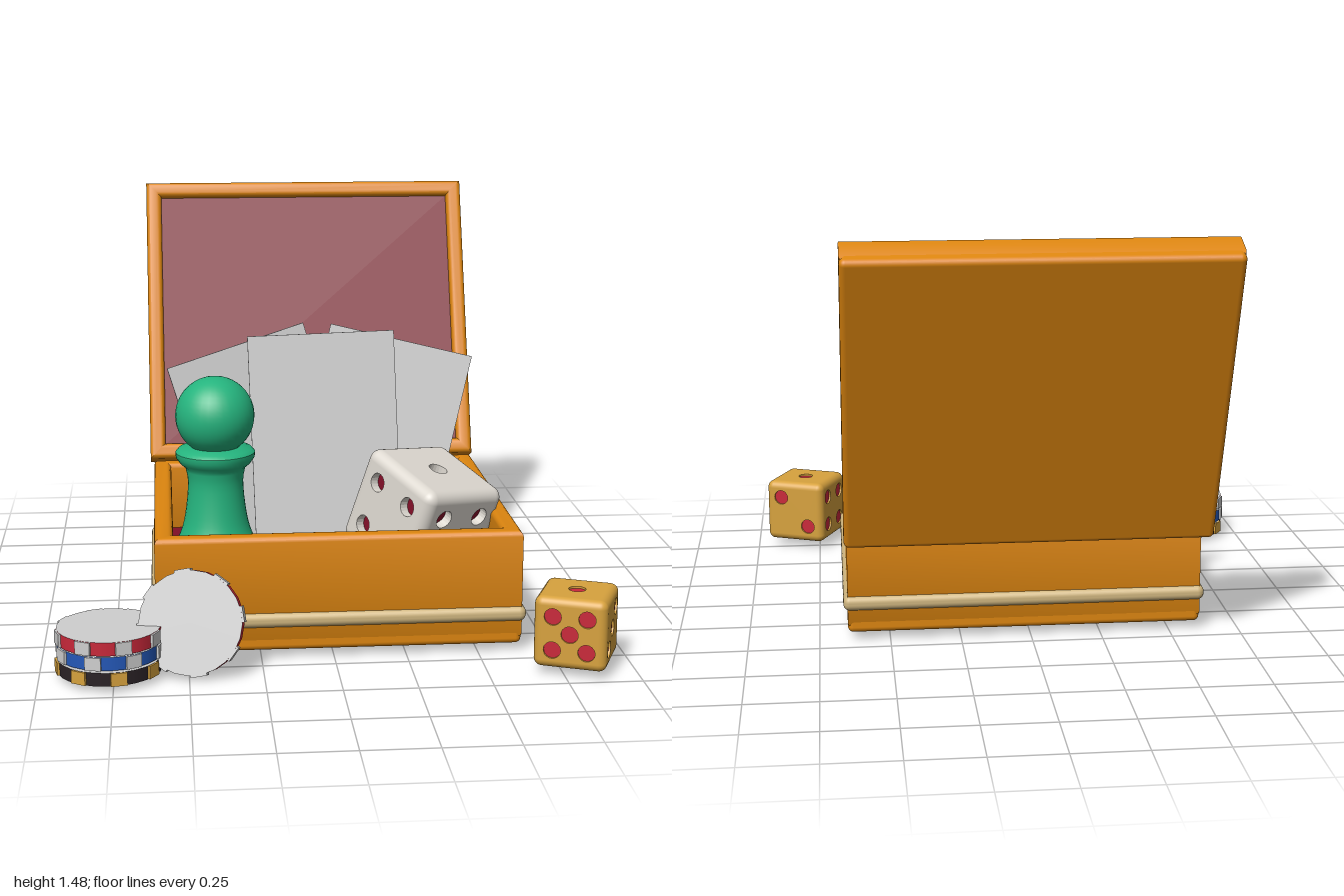
import * as THREE from 'three';
import { toCreasedNormals } from 'three/addons/utils/BufferGeometryUtils.js';
import { RoundedBoxGeometry } from 'three/addons/geometries/RoundedBoxGeometry.js';

const mat = (name, color) => {
  const m = new THREE.MeshStandardMaterial({ color });
  m.name = name;
  return m;
};
const M = {
  wood: mat('orange wood', 0xdc850f),
  lining: mat('crimson lining', 0x800f27),
  trim: mat('tan trim', 0xcfb57f),
  green: mat('green', 0x25b47e),
  paper: mat('pale grey', 0xcfcfcf),
  ivory: mat('ivory', 0xdcd7cf),
  yellow: mat('yellow', 0xd7a23e),
  red: mat('red', 0xc9283a),
  blue: mat('blue', 0x2458b8),
  black: mat('near black', 0x2a2226),
};

function add(parent, name, geometry, material, x = 0, y = 0, z = 0) {
  const mesh = new THREE.Mesh(geometry, material);
  mesh.name = name;
  mesh.position.set(x, y, z);
  parent.add(mesh);
  return mesh;
}

function group(parent, name, x = 0, y = 0, z = 0) {
  const g = new THREE.Group();
  g.name = name;
  g.position.set(x, y, z);
  g.rotation.order = 'YXZ';
  parent.add(g);
  return g;
}

function rectPath(PathClass, w, h) {
  return new PathClass([
    new THREE.Vector2(-w / 2, -h / 2), new THREE.Vector2(w / 2, -h / 2),
    new THREE.Vector2(w / 2, h / 2), new THREE.Vector2(-w / 2, h / 2),
  ]);
}

// Shallow tray lying on z = 0 and opening toward +z, lined up to height liningZ
function tray(g, w, h, depth, wall, liningZ) {
  const b = 0.02, slab = 0.06;
  add(g, 'trayBase', new RoundedBoxGeometry(w, h, slab, 3, b), M.wood, 0, 0, slab / 2);
  const shape = rectPath(THREE.Shape, w, h);
  shape.holes.push(rectPath(THREE.Path, w - 2 * wall, h - 2 * wall));
  const frame = new THREE.ExtrudeGeometry(shape, {
    depth: depth - 0.02 - 2 * b, bevelSize: b, bevelThickness: b, bevelOffset: -b, bevelSegments: 4,
  });
  add(g, 'trayWalls', toCreasedNormals(frame, 0.6), M.wood, 0, 0, 0.02 + b);
  add(g, 'lining', new THREE.BoxGeometry(w - 2 * wall + 0.01, h - 2 * wall + 0.01, liningZ - 0.03),
    M.lining, 0, 0, (liningZ + 0.03) / 2);
}

const PIPS = {
  1: [[0, 0]],
  2: [[-1, 1], [1, -1]],
  3: [[-1, -1], [0, 0], [1, 1]],
  4: [[-1, -1], [1, -1], [-1, 1], [1, 1]],
  5: [[-1, -1], [1, -1], [0, 0], [-1, 1], [1, 1]],
  6: [[-1, -1], [0, -1], [1, -1], [-1, 1], [0, 1], [1, 1]],
};
const FACES = [ // pip count, tilt, turn
  [1, -Math.PI / 2, 0], [6, Math.PI / 2, 0], [5, 0, 0],
  [2, 0, Math.PI], [3, 0, Math.PI / 2], [4, 0, -Math.PI / 2],
];

// Rounded die with drilled pips
function die(g, size, round, pipRadius, pipDepth, bodyMat, pipMat) {
  const h = size / 2, flat = h - round;
  // Rounded edges only: drop the flat middle of each side
  const src = new RoundedBoxGeometry(size, size, size, 4, round);
  const p = src.attributes.position, n = src.attributes.normal, pos = [], nor = [];
  for (let i = 0; i < p.count; i += 3) {
    const isFlat = [0, 1, 2].every((k) =>
      Math.max(Math.abs(n.getX(i + k)), Math.abs(n.getY(i + k)), Math.abs(n.getZ(i + k))) > 0.9999);
    const sameSide = Math.abs(n.getX(i) - n.getX(i + 1)) + Math.abs(n.getY(i) - n.getY(i + 1)) < 0.01;
    if (isFlat && sameSide) continue;
    for (let k = i; k < i + 3; k++) {
      pos.push(p.getX(k), p.getY(k), p.getZ(k));
      nor.push(n.getX(k), n.getY(k), n.getZ(k));
    }
  }
  const edges = new THREE.BufferGeometry();
  edges.setAttribute('position', new THREE.Float32BufferAttribute(pos, 3));
  edges.setAttribute('normal', new THREE.Float32BufferAttribute(nor, 3));
  add(g, 'dieEdges', edges, bodyMat);
  for (const [count, rx, ry] of FACES) {
    const side = group(g, 'dieSide' + count);
    side.rotation.set(rx, ry, 0);
    const shape = rectPath(THREE.Shape, flat * 2, flat * 2);
    for (const [u, v] of PIPS[count]) {
      const x = u * h * 0.47, y = v * h * 0.47;
      shape.holes.push(new THREE.Path().absarc(x, y, pipRadius, 0, Math.PI * 2, true));
      add(side, 'pip', new THREE.CircleGeometry(pipRadius * 1.05, 20), pipMat, x, y, h - pipDepth + 0.001);
    }
    add(side, 'dieFace', new THREE.ExtrudeGeometry(shape, { depth: pipDepth, bevelEnabled: false, curveSegments: 10 }),
      bodyMat, 0, 0, h - pipDepth);
  }
}

// Gaming chip with eight edge inserts
function chip(parent, name, bodyMat, insertMat, x, y, z) {
  const g = group(parent, name, x, y, z);
  add(g, 'chipBody', new THREE.CylinderGeometry(0.175, 0.175, 0.046, 24), [bodyMat, M.paper, M.paper]);
  for (let i = 0; i < 8; i++) {
    const a = (i / 8) * Math.PI * 2 + 0.2;
    const insert = add(g, 'chipInsert', new THREE.BoxGeometry(0.055, 0.044, 0.02), insertMat,
      Math.sin(a) * 0.17, 0, Math.cos(a) * 0.17);
    insert.rotation.y = a;
  }
  return g;
}

export function createModel() {
  const model = new THREE.Group();
  model.name = 'gameBox';

  // Box and its trim band
  const box = group(model, 'box', 0.02, 0.035, 0.125);
  box.rotation.x = -Math.PI / 2;
  tray(box, 1.26, 1.115, 0.405, 0.065, 0.145);
  add(model, 'trimBand', new RoundedBoxGeometry(1.29, 0.054, 1.145, 4, 0.024), M.trim, 0.02, 0.145, 0.125);

  // Open lid leaning back
  const lid = group(model, 'lid', 0.018, 0.913, -0.794);
  lid.rotation.x = -0.38;
  tray(lid, 1.285, 1.13, 0.145, 0.06, 0.115);

  // Pawn
  const bodyCurve = new THREE.SplineCurve([
    [0.2, 0.22], [0.165, 0.28], [0.125, 0.36], [0.107, 0.44], [0.098, 0.54], [0.107, 0.595],
  ].map(([r, y]) => new THREE.Vector2(r, y)));
  const profile = [
    new THREE.Vector2(0, 0.175), new THREE.Vector2(0.2, 0.175), ...bodyCurve.getPoints(16),
    ...[[0.125, 0.61], [0.14, 0.632], [0.141, 0.65], [0.13, 0.662], [0.08, 0.67], [0, 0.68]]
      .map(([r, y]) => new THREE.Vector2(r, y)),
  ];
  add(model, 'pawnBody', toCreasedNormals(new THREE.LatheGeometry(profile, 36), 0.7), M.green, -0.39, 0, 0.3);
  add(model, 'pawnHead', new THREE.SphereGeometry(0.14, 32, 24), M.green, -0.39, 0.78, 0.3);

  // Fan of cards, each placed by the middle of its top edge
  const cards = [
    [0.02, 0.995, -0.11, 0, -0.03 + 0.06],
    [-0.295, 0.935, -0.21, 0.15, 0.28],
    [0.335, 0.95, -0.19, -0.13, -0.22],
  ];
  for (const [x, y, z, yaw, roll] of cards) {
    const card = add(model, 'card', new THREE.BoxGeometry(0.55, 0.76, 0.01).translate(0, -0.38, 0), M.paper, x, y, z);
    card.rotation.set(-0.14, yaw, roll, 'YXZ');
  }

  // Dice
  const bigDie = group(model, 'largeDie', 0.35, 0.41, 0.32);
  bigDie.rotation.set(0.32, 0.57, -0.13);
  die(bigDie, 0.365, 0.04, 0.034, 0.035, M.ivory, M.lining);
  const smallDie = group(model, 'smallDie', 0.804, 0.158, 0.843);
  smallDie.rotation.y = -0.4;
  die(smallDie, 0.246, 0.028, 0.029, 0.008, M.yellow, M.red);

  // Stacked chips and one leaning against the box
  chip(model, 'blackChip', M.black, M.yellow, -0.765, 0.052, 0.785);
  chip(model, 'blueChip', M.blue, M.paper, -0.765, 0.104, 0.78).rotation.y = 0.3;
  chip(model, 'redChip', M.red, M.paper, -0.765, 0.156, 0.785).rotation.y = 0.1;
  const leaning = chip(model, 'leaningChip', M.red, M.paper, -0.49, 0.187, 0.805);
  leaning.rotation.set(Math.PI / 2 - 0.3, -0.2, 0);
  return model;
}
